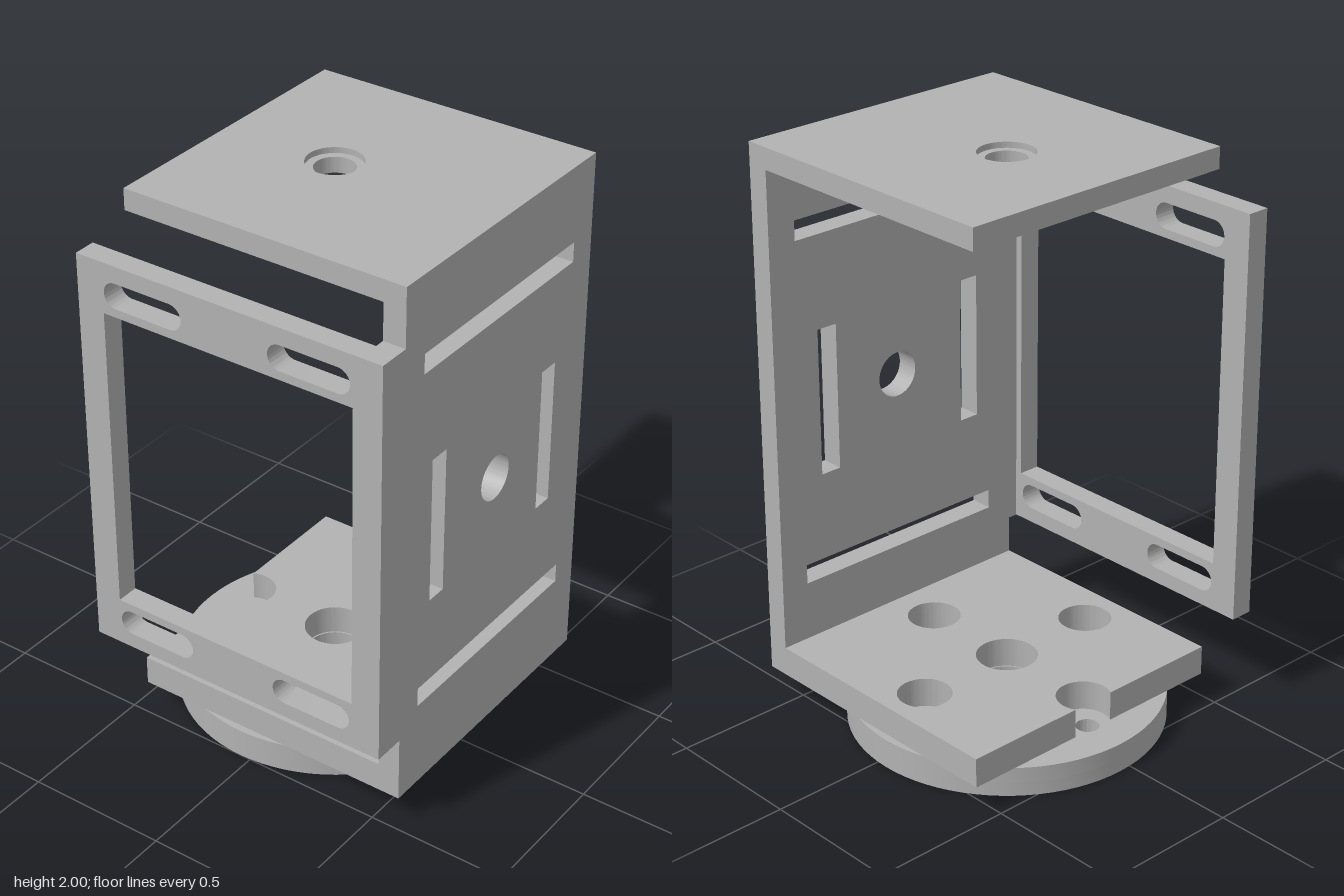
import * as THREE from 'three';
import { toCreasedNormals } from 'three/addons/utils/BufferGeometryUtils.js';

const CX = -0.04, CZ = -0.045; // vertical axis of the disc and bores

const rectPoints = (x0, y0, x1, y1) => [[x0, y0], [x1, y0], [x1, y1], [x0, y1]].map(p => new THREE.Vector2(...p));
const rect = (...r) => new THREE.Shape(rectPoints(...r));
const rectHole = (...r) => new THREE.Path(rectPoints(...r));
const circle = (x, y, r, Type = THREE.Path) => new Type().absarc(x, y, r, 0, Math.PI * 2, false);

// Horizontal slot with round ends
function slotHole(x0, y0, x1, y1) {
  const r = (y1 - y0) / 2, y = (y0 + y1) / 2, q = Math.PI / 2;
  const p = new THREE.Path();
  p.absarc(x1 - r, y, r, -q, q, false);
  p.absarc(x0 + r, y, r, q, 3 * q, false);
  p.closePath();
  return p;
}

// Cross-shaped recess: tapered, round-tipped arms around a central bore
function crossHole(x, y, bore) {
  const p = new THREE.Path(), q = Math.PI / 2;
  const base = 0.05, tip = 0.036, a = Math.asin(base / bore);
  for (let k = 0; k < 4; k++) {
    const t = k * q, reach = (k % 2 ? 0.27 : 0.47) - tip;
    p.absarc(x, y, bore, t - q + a, t - a, false);
    p.absarc(x + reach * Math.cos(t), y + reach * Math.sin(t), tip, t - q, t + q, false);
  }
  p.closePath();
  return p;
}

function extrude(shape, holes, depth) {
  shape.holes.push(...holes);
  return new THREE.ExtrudeGeometry(shape, { depth, bevelEnabled: false, curveSegments: 40 });
}

export function createModel() {
  const model = new THREE.Group();
  model.name = 'mountingBracket';
  const grey = new THREE.MeshStandardMaterial({ color: 0xb2b2b2 });
  grey.name = 'plainGrey';

  const add = (name, geometry) => {
    const mesh = new THREE.Mesh(toCreasedNormals(geometry, 0.5), grey);
    mesh.name = name;
    model.add(mesh);
  };
  // Horizontal plate drawn in (x, z) between two heights
  const addFlat = (name, shape, holes, y0, y1) =>
    add(name, extrude(shape, holes, y1 - y0).rotateX(Math.PI / 2).translate(0, y1, 0));

  // Side wall, drawn in (z, y), with a forward tab that carries the frame
  const wall = new THREE.Shape([
    [-0.565, 0.105], [0.475, 0.105], [0.475, 0.345], [0.59, 0.345],
    [0.59, 1.795], [0.475, 1.795], [0.475, 2], [-0.565, 2],
  ].map(p => new THREE.Vector2(...p)));
  const wallHoles = [
    rectHole(-0.46, 1.66, 0.375, 1.73), rectHole(-0.46, 0.42, 0.375, 0.49),
    rectHole(0.245, 0.805, 0.32, 1.33), rectHole(-0.38, 0.805, -0.303, 1.33),
    circle(-0.042, 1.07, 0.08),
  ];
  add('sideWall', extrude(wall, wallHoles, 0.08).rotateY(-Math.PI / 2).translate(0.585, 0, 0));

  // Front frame with a window and four slots
  const frameHoles = [rectHole(-0.46, 0.52, 0.48, 1.615)];
  for (const y of [0.4, 1.645])
    for (const x of [-0.455, 0.17]) frameHoles.push(slotHole(x, y, x + 0.3, y + 0.09));
  add('frontFrame', extrude(rect(-0.56, 0.345, 0.505, 1.795), frameHoles, 0.08).translate(0, 0, 0.51));

  // Top plate with a shallow counterbore
  addFlat('topPlate', rect(-0.455, -0.565, 0.505, 0.475), [circle(CX, CZ, 0.068)], 1.925, 1.98);
  addFlat('topPlateCounterbore', rect(-0.455, -0.565, 0.505, 0.475), [circle(CX, CZ, 0.095)], 1.98, 2);

  // Bottom plate: the fourth access hole breaks through the open edge
  const r = 0.092, off = 0.37, edge = -0.455;
  const notch = Math.acos((edge - (CX - off)) / r);
  const base = new THREE.Shape();
  base.moveTo(edge, -0.565);
  base.lineTo(0.505, -0.565);
  base.lineTo(0.505, 0.475);
  base.lineTo(edge, 0.475);
  base.absarc(CX - off, CZ, r, notch, -notch, true);
  base.closePath();
  addFlat('bottomPlate', base, [
    circle(CX, CZ, 0.105), circle(CX + off, CZ, r), circle(CX, CZ - off, r), circle(CX, CZ + off, r),
  ], 0.105, 0.21);

  // Round base disc: through holes above, cross recess below
  const d = 0.39, hole = 0.04, bore = 0.1;
  const zHoles = () => [-d, d].map(z => circle(CX, CZ + z, hole));
  const xHoles = [-d, d].map(x => circle(CX + x, CZ, hole));
  addFlat('baseDiscUpper', circle(CX, CZ, 0.545, THREE.Shape),
    [circle(CX, CZ, bore), ...zHoles(), ...xHoles], 0.05, 0.105);
  addFlat('baseDiscLower', circle(CX, CZ, 0.545, THREE.Shape),
    [crossHole(CX, CZ, bore), ...zHoles()], 0, 0.05);

  return model;
}
